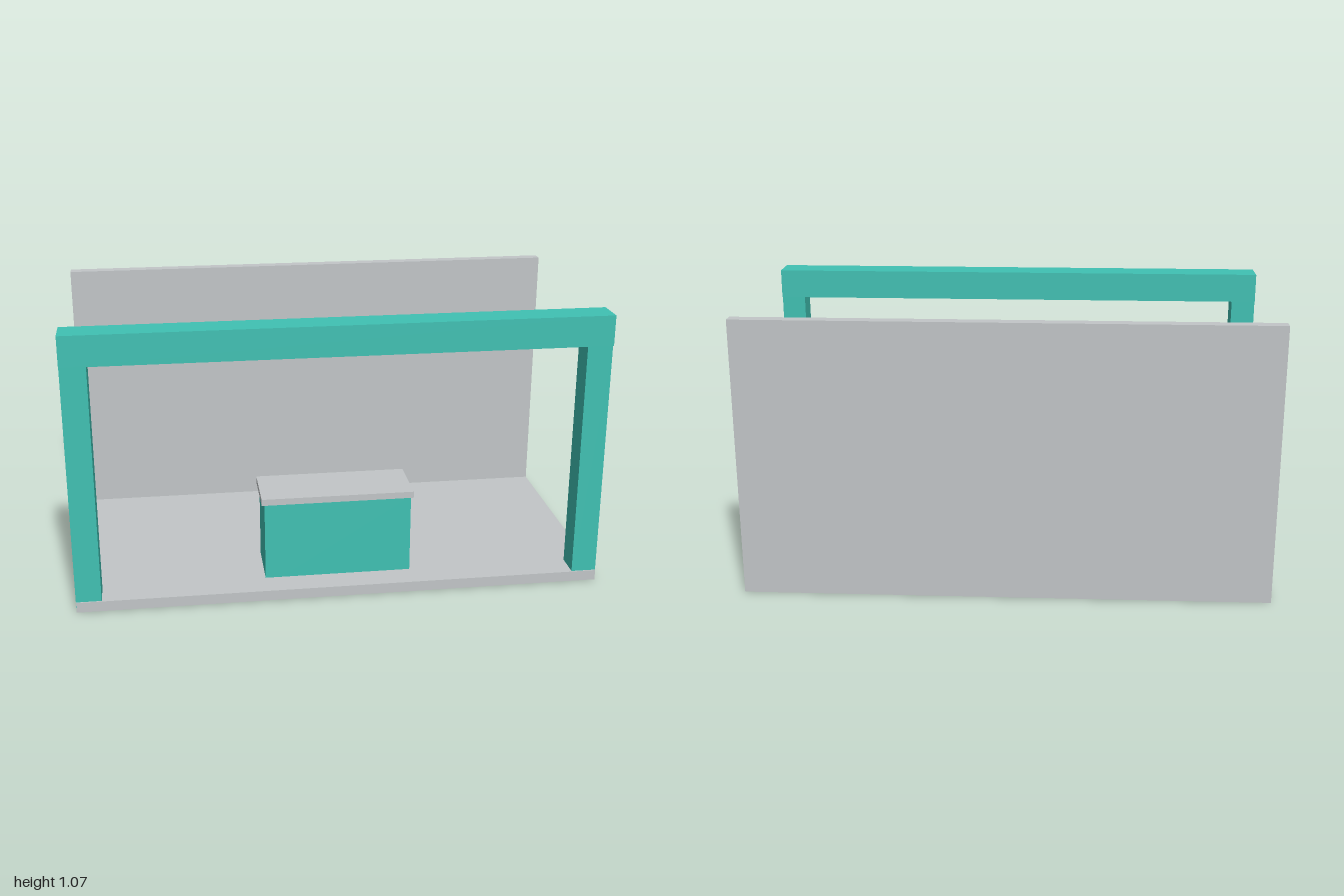
import * as THREE from 'three';

export function createModel() {
  const model = new THREE.Group();
  model.name = 'marketBooth';
  const grey = new THREE.MeshStandardMaterial({ name: 'lightGrey', color: 0xc2c6c8 });
  const teal = new THREE.MeshStandardMaterial({ name: 'teal', color: 0x40c1b3 });

  // Box given by its lower and upper limits on each axis
  function addBox(name, material, [x0, x1], [y0, y1], [z0, z1]) {
    const mesh = new THREE.Mesh(new THREE.BoxGeometry(x1 - x0, y1 - y0, z1 - z0), material);
    mesh.position.set((x0 + x1) / 2, (y0 + y1) / 2, (z0 + z1) / 2);
    mesh.name = name;
    model.add(mesh);
  }

  // Floor slab and back wall; the slab stops just short of the post sides
  addBox('floor', grey, [-0.999, 0.999], [0, 0.04], [-0.46, 0.5]);
  addBox('backWall', grey, [-0.999, 0.999], [0, 1.068], [-0.504, -0.458]);

  // Front frame: two posts let into the floor, and a beam across them
  for (const [side, name] of [[1, 'leftPost'], [-1, 'rightPost']]) {
    const xs = [side * 0.905, side * 1].sort((a, b) => a - b);
    addBox(name, teal, xs, [0.001, 0.96], [0.395, 0.495]);
  }
  addBox('frontBeam', teal, [-1, 1], [0.955, 1.07], [0.387, 0.504]);

  // Counter with an overhanging top
  addBox('counterBody', teal, [-0.283, 0.281], [0.001, 0.35], [0.171, 0.391]);
  addBox('counterTop', grey, [-0.294, 0.291], [0.345, 0.37], [0.163, 0.396]);

  return model;
}
